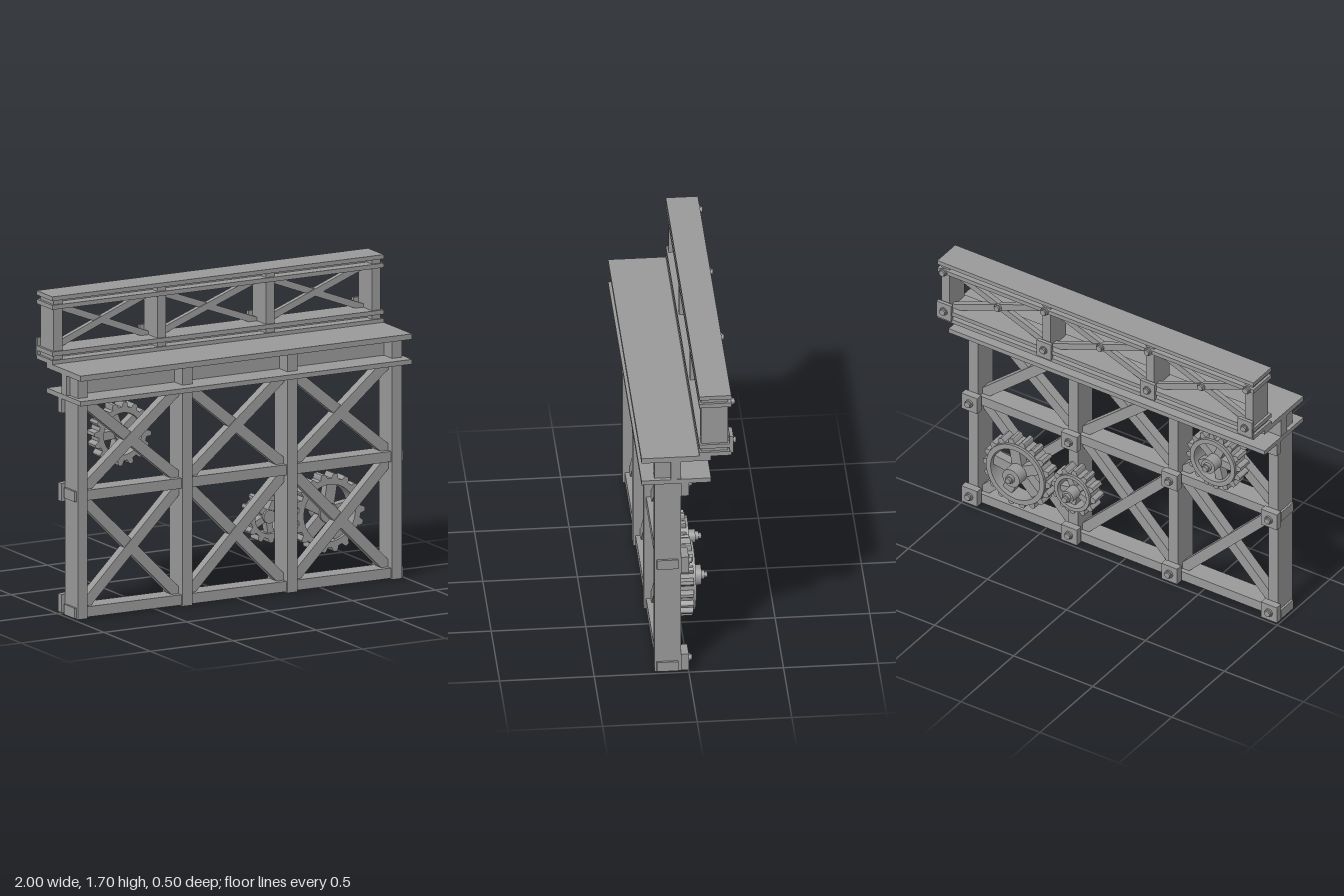
import * as THREE from 'three';

export function createModel() {
  const root = new THREE.Group();
  root.name = 'trestleBridge';
  const steel = new THREE.MeshStandardMaterial({ color: 0x999999 });
  steel.name = 'steelGrey';

  const add = (name, geo, parent = root) => {
    const m = new THREE.Mesh(geo, steel);
    m.name = name;
    parent.add(m);
    return m;
  };
  // box given by its limits on each axis
  const box = (name, x0, x1, y0, y1, z0, z1, parent) => {
    const m = add(name, new THREE.BoxGeometry(x1 - x0, y1 - y0, z1 - z0), parent);
    m.position.set((x0 + x1) / 2, (y0 + y1) / 2, (z0 + z1) / 2);
    return m;
  };
  // cylinder along z
  const rod = (name, x, y, z0, z1, r, sides, parent) => {
    const m = add(name, new THREE.CylinderGeometry(r, r, z1 - z0, sides).rotateX(Math.PI / 2), parent);
    m.position.set(x, y, (z0 + z1) / 2);
    return m;
  };
  // bolt pointing backwards from the surface at z
  const bolt = (x, y, z, parent) => {
    rod('boltWasher', x, y, z - 0.01, z, 0.023, 20, parent);
    rod('boltHead', x, y, z - 0.02, z - 0.01, 0.018, 6, parent);
  };
  // pair of crossing braces filling a bay
  const cross = (name, x0, x1, y0, y1, z0, z1, w) => {
    const dx = x1 - x0, dy = y1 - y0;
    for (const s of [1, -1]) {
      const m = add(name, new THREE.BoxGeometry(Math.hypot(dx, dy), w, z1 - z0));
      m.position.set((x0 + x1) / 2, (y0 + y1) / 2, (z0 + z1) / 2 + s * 0.003);
      m.rotation.z = s * Math.atan2(dy, dx);
    }
  };

  // lower frame: posts, rails and bolted plates
  const posts = [-0.948, -0.317, 0.317, 0.948];
  for (const x of posts) {
    box('post', x - 0.03, x + 0.03, 0, 1.17, 0.04, 0.18);
    box('deckBlock', x - 0.03, x + 0.03, 1.195, 1.305, 0.09, 0.18);
    for (const y of [0.062, 0.662, 1.14]) {
      const px = Math.sign(x) * Math.min(Math.abs(x), 0.948);
      box('jointPlate', px - 0.05, px + 0.05, y - 0.049, y + 0.049, 0, 0.04);
      bolt(px, y, 0);
    }
  }
  for (const y of [0.005, 0.635]) box('rail', -0.99, 0.99, y, y + 0.056, 0.055, 0.168);
  for (let i = 0; i < 3; i++) {
    const x0 = posts[i] + 0.03, x1 = posts[i + 1] - 0.03;
    cross('lowerBrace', x0, x1, 0.06, 0.635, 0.085, 0.14, 0.058);
    cross('upperBrace', x0, x1, 0.69, 1.17, 0.085, 0.14, 0.058);
  }

  // deck: two slabs joined by a beam
  box('lowerDeck', -1, 1, 1.17, 1.196, -0.118, 0.25);
  box('upperDeck', -1, 1, 1.304, 1.334, -0.118, 0.25);
  box('deckBeam', -0.998, 0.998, 1.196, 1.304, 0.04, 0.095);

  // raised girder behind the deck
  for (const [y0, y1] of [[1.331, 1.355], [1.378, 1.402], [1.63, 1.654], [1.677, 1.7]])
    box('girderFlange', -1, 1, y0, y1, -0.225, -0.055);
  for (const [y0, y1] of [[1.355, 1.378], [1.654, 1.677]])
    box('girderWeb', -0.985, 0.985, y0, y1, -0.185, -0.12);
  const girderPosts = [-0.96, -0.335, 0.32, 0.96];
  for (const x of girderPosts) {
    box('girderPost', x - 0.026, x + 0.026, 1.402, 1.63, -0.208, -0.065);
    for (const y of [1.355, 1.654]) {
      box('spacerBlock', x - 0.026, x + 0.026, y, y + 0.023, -0.12, -0.065);
      box('spacerBlock', x - 0.026, x + 0.026, y, y + 0.023, -0.208, -0.185);
    }
    const px = Math.sign(x) * Math.min(Math.abs(x), 0.952);
    box('girderPlate', px - 0.046, px + 0.046, 1.346, 1.446, -0.236, -0.216);
    bolt(px, 1.397, -0.232);
    bolt(x, 1.642, -0.225);
  }
  for (let i = 0; i < 3; i++) {
    const x0 = girderPosts[i] + 0.026, x1 = girderPosts[i + 1] - 0.026;
    cross('girderBrace', x0, x1, 1.402, 1.63, -0.185, -0.155, 0.036);
    bolt((x0 + x1) / 2, 1.516, -0.186);
  }

  // gears on the back
  const gear = (x, y, outer, rootR, inner, hub, teeth, turn) => {
    const g = new THREE.Group();
    g.name = 'gear';
    g.position.set(x, y, 0);
    root.add(g);
    const pts = [];
    for (let i = 0; i < teeth; i++)
      for (const [f, r] of [[-0.32, rootR], [-0.2, outer - 0.006], [-0.12, outer], [0.12, outer], [0.2, outer - 0.006], [0.32, rootR]]) {
        const a = turn + (i + f) / teeth * Math.PI * 2;
        pts.push(new THREE.Vector2(Math.cos(a) * r, Math.sin(a) * r));
      }
    const ring = (name, shape, z0, z1) => {
      shape.holes.push(new THREE.Path().absarc(0, 0, inner, 0, Math.PI * 2, true));
      const geo = new THREE.ExtrudeGeometry(shape, { depth: z1 - z0, bevelEnabled: false, curveSegments: 32 });
      add(name, geo, g).position.z = z0;
    };
    ring('toothedRim', new THREE.Shape(pts), -0.043, 0.04);
    ring('rimLip', new THREE.Shape().absarc(0, 0, rootR - 0.004, 0, Math.PI * 2, false), -0.057, -0.043);
    for (let i = 0; i < 5; i++) {
      const a = turn + i / 5 * Math.PI * 2, len = inner + 0.008;
      const s = add('spoke', new THREE.BoxGeometry(len, inner * 0.4, 0.05), g);
      s.position.set(Math.cos(a) * len / 2, Math.sin(a) * len / 2, -0.005);
      s.rotation.z = a;
    }
    rod('hub', 0, 0, -0.097, 0.035, hub, 32, g);
    rod('axleWasher', 0, 0, -0.115, -0.097, 0.024, 20, g);
    rod('axleNut', 0, 0, -0.13, -0.115, 0.018, 6, g);
  };
  gear(-0.627, 0.936, 0.172, 0.146, 0.115, 0.042, 16, 0.7);
  gear(0.262, 0.385, 0.14, 0.115, 0.09, 0.036, 12, 1.1);
  gear(0.62, 0.365, 0.213, 0.188, 0.155, 0.054, 18, 1.4);

  return root;
}
